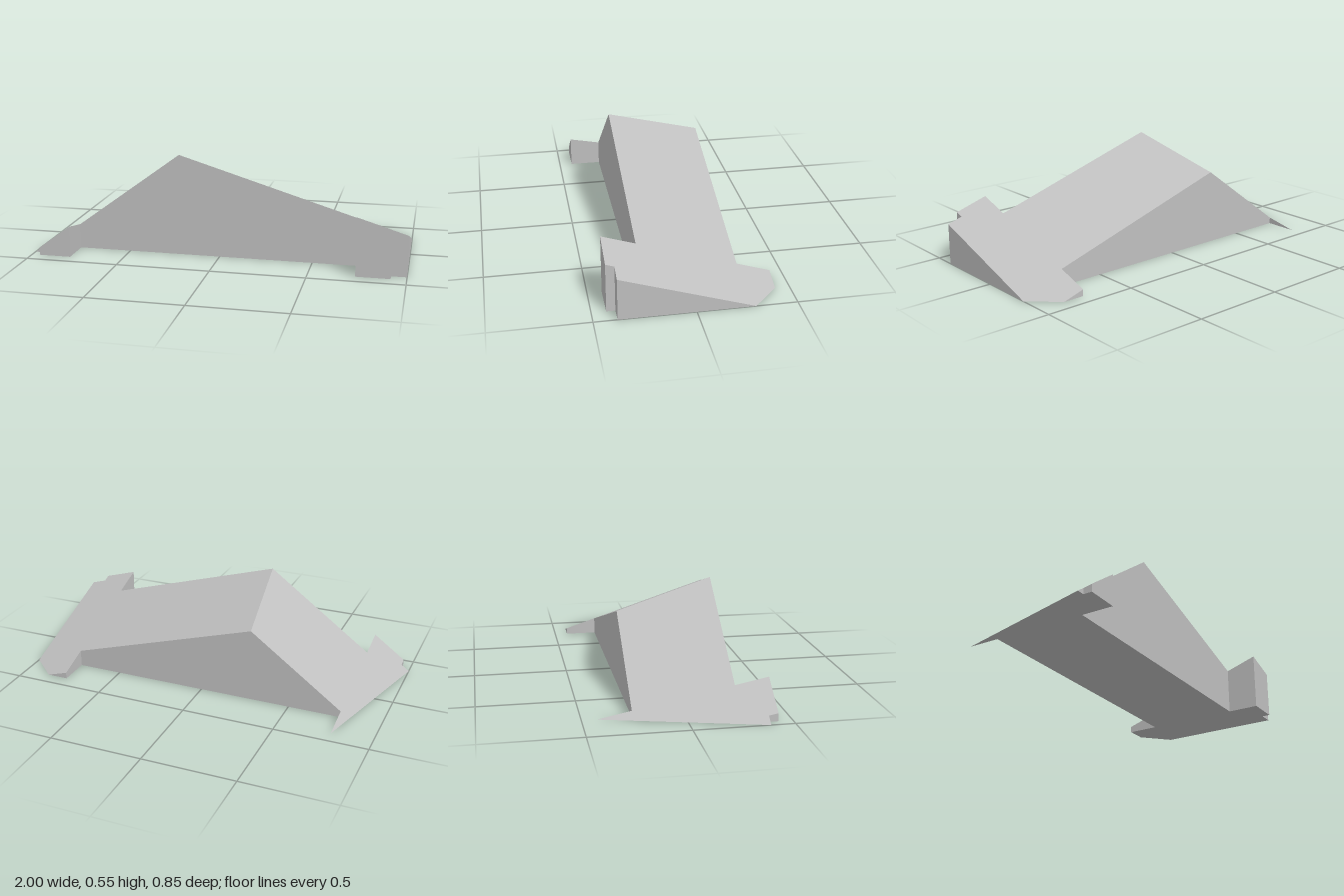
import * as THREE from 'three';

// Two sloping roof planes meeting in a ridge
const westSlope = (x, z) => 0.735 * (x + 1) + 0.196 * (z - 0.38);
const eastSlope = (x, z) => 0.257 + 0.325 * (z - 0.255) - 0.305 * (x - 0.74);
const height = ([x, z]) => Math.max(0, Math.min(westSlope(x, z), eastSlope(x, z)));

// Footprint as [x, z], counterclockwise from above, split at the ridge
const west = [
  [-0.283, -0.255], [-0.784, -0.255], [-0.784, -0.427], [-1, 0.38], [-0.957, 0.38],
  [-0.957, 0.427], [-0.784, 0.427], [-0.784, 0.255], [-0.219, 0.255],
];
const east = [
  [-0.219, 0.255], [0.742, 0.255], [0.742, 0.427], [0.92, 0.427], [0.92, 0.383], [1, 0.383],
  [1, -0.292], [0.856, -0.427], [0.742, -0.427], [0.742, -0.255], [-0.283, -0.255],
];
const outline = [...west, ...east.slice(1, -1)];

function facets(points) {
  const geometry = new THREE.BufferGeometry();
  geometry.setAttribute('position', new THREE.Float32BufferAttribute(points.flat(), 3));
  geometry.computeVertexNormals();
  return geometry;
}

const at = (p, y) => [p[0], y, p[1]];

// Fills a footprint polygon, raised by a height rule
function surface(polygon, rule, faceDown = false) {
  const contour = polygon.map(([x, z]) => new THREE.Vector2(x, -z));
  const points = [];
  for (const tri of THREE.ShapeUtils.triangulateShape(contour, [])) {
    const order = faceDown ? [tri[2], tri[1], tri[0]] : tri;
    for (const i of order) points.push(at(polygon[i], rule(polygon[i])));
  }
  return facets(points);
}

// Vertical walls from the ground up to the roof
function wallSurface(polygon) {
  const points = [];
  polygon.forEach((a, i) => {
    const b = polygon[(i + 1) % polygon.length];
    const ha = height(a), hb = height(b);
    if (hb > 0.002) points.push(at(a, 0), at(b, 0), at(b, hb));
    if (ha > 0.002) points.push(at(a, 0), at(b, hb), at(a, ha));
  });
  return facets(points);
}

export function createModel() {
  const model = new THREE.Group();
  model.name = 'wedgeBlock';
  const grey = new THREE.MeshStandardMaterial({ color: 0xbfbfbf, flatShading: true });
  grey.name = 'grey';

  const add = (name, geometry) => {
    const mesh = new THREE.Mesh(geometry, grey);
    mesh.name = name;
    model.add(mesh);
  };
  add('steepRoof', surface(west, height));
  add('longRoof', surface(east, height));
  add('walls', wallSurface(outline));
  add('base', surface(outline, () => 0, true));
  return model;
}
